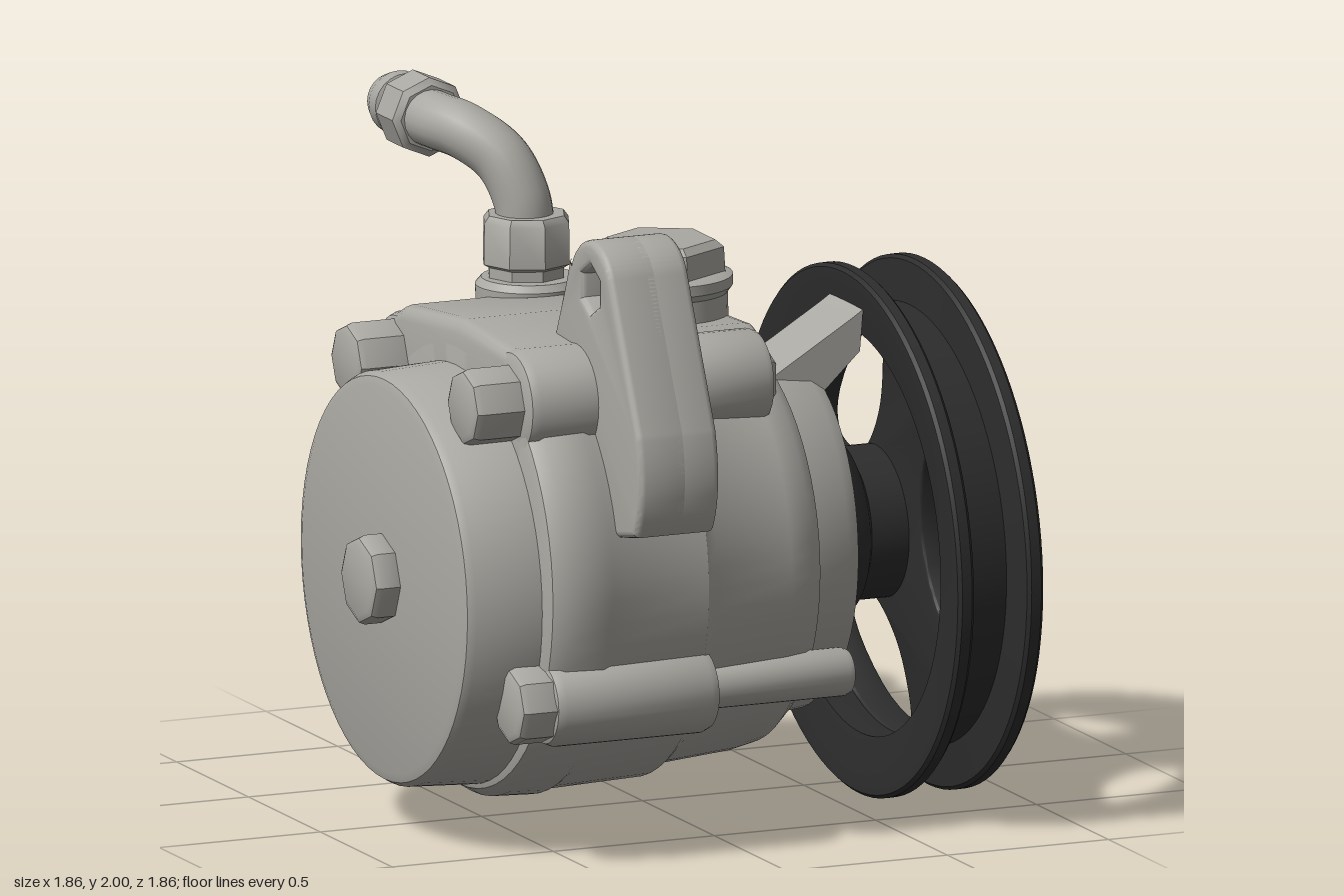
import * as THREE from 'three';
import { toCreasedNormals } from 'three/addons/utils/BufferGeometryUtils.js';

const V2 = (x, y) => new THREE.Vector2(x, y);

export function createModel() {
  const model = new THREE.Group();
  const castMetal = new THREE.MeshStandardMaterial({ color: 0xaaa8a2 });
  castMetal.name = 'cast metal';
  const blackPaint = new THREE.MeshStandardMaterial({ color: 0x2d2d2e });
  blackPaint.name = 'black paint';

  function add(name, geo, mat = castMetal, parent = model) {
    const mesh = new THREE.Mesh(toCreasedNormals(geo, 0.6), mat);
    mesh.name = name;
    parent.add(mesh);
    return mesh;
  }
  // Turned part along x: profile is [x, radius] pairs, axis at height y and depth z, zScale makes it oval
  function latheX(profile, y, z, sides = 64, zScale = 1) {
    return new THREE.LatheGeometry(profile.map(([x, r]) => V2(r, x)), sides)
      .rotateZ(-Math.PI / 2).scale(1, 1, zScale).translate(0, y, z);
  }
  // Turned part along y: profile is [y, radius] pairs
  function latheY(profile, x, z, sides = 40) {
    return new THREE.LatheGeometry(profile.map(([y, r]) => V2(r, y)), sides).translate(x, 0, z);
  }
  // Rod with softened ends or, with few sides, a bolt head
  function rodX(x0, x1, r, y, z, sides = 28, c = 0.025) {
    return latheX([
      [x0, 0], [x0, r - c], [x0 + c * 0.3, r - c * 0.3], [x0 + c, r],
      [x1 - c, r], [x1 - c * 0.3, r - c * 0.3], [x1, r - c], [x1, 0],
    ], y, z, sides);
  }
  // Plate in the (-z, y) plane, spanning x0 to x1
  function plateX(shape, x0, x1, bevel = 0.02) {
    return new THREE.ExtrudeGeometry(shape, {
      depth: x1 - x0 - 2 * bevel, bevelThickness: bevel, bevelSize: bevel,
      bevelOffset: -bevel, bevelSegments: 3, curveSegments: 24,
    }).translate(0, 0, x0 + bevel).rotateY(Math.PI / 2);
  }
  function polygonPath(u, v, r, n) {
    const pts = [];
    for (let i = 0; i < n; i++) {
      const a = (i / n) * Math.PI * 2 + Math.PI / 6;
      pts.push(V2(u + r * Math.cos(a), v + r * Math.sin(a)));
    }
    return new THREE.Path(pts);
  }

  // Housing
  add('rearCap', latheX([[-0.85, 0], [-0.85, 0.555], [-0.842, 0.58], [-0.82, 0.593], [-0.58, 0.605], [-0.58, 0]], 0.745, 0.09));
  add('housing', latheX([
    [-0.62, 0], [-0.62, 0.62], [-0.61, 0.65], [-0.57, 0.675], [-0.45, 0.68], [-0.43, 0.67], [-0.13, 0.66],
    [-0.09, 0.63], [0.15, 0.61], [0.22, 0.595], [0.26, 0.56], [0.265, 0.4], [0.265, 0],
  ], 0.78, 0.095));
  add('nose', latheX([
    [0.2, 0], [0.2, 0.545], [0.27, 0.53], [0.4, 0.515], [0.44, 0.49],
    [0.45, 0.46], [0.45, 0.36], [0.4, 0.34], [0.4, 0],
  ], 0.78, 0.09, 64, 0.87));
  add('rearBolt', rodX(-0.93, -0.83, 0.13, 0.75, 0.095, 8));

  // Corner bolts in their lugs: [y, z, head x, lug radius]
  const corners = [[1.31, 0.46, -0.77, 0.155], [1.28, -0.35, -0.77, 0.13], [0.48, 0.67, -0.72, 0.125], [0.48, -0.5, -0.73, 0.125]];
  for (const [y, z, head, lug] of corners) {
    add('cornerBolt', rodX(head, -0.56, 0.112, y, z, 8));
    add('boltLug', rodX(-0.62, -0.1, lug, y, z, 32, 0.035));
  }
  // Bosses reaching forward: [y, z, radius, end x]
  for (const [y, z, r, end] of [[1.31, 0.42, 0.14, 0.17], [1.28, -0.36, 0.11, 0.17], [0.48, 0.63, 0.07, 0.36], [0.98, -0.51, 0.075, 0.36]]) {
    add('forwardBoss', rodX(-0.14, end, r, y, z));
  }
  add('lowerBackBoss', rodX(-0.14, 0.06, 0.11, 0.48, -0.48));

  // Pressure valve chamber along the back
  add('valveChamber', rodX(-0.63, -0.08, 0.175, 0.96, -0.525, 32, 0.05));

  // Cast decks joining the upper lugs
  const rearDeck = new THREE.Shape([V2(-0.62, 0.9), V2(0.5, 0.85), V2(0.48, 1.25), V2(0.42, 1.38), V2(0.3, 1.44), V2(-0.1, 1.48), V2(-0.45, 1.46), V2(-0.57, 1.38)]);
  add('rearDeck', plateX(rearDeck, -0.62, -0.12, 0.04));
  const frontDeck = new THREE.Shape([V2(-0.45, 0.8), V2(0.48, 0.8), V2(0.45, 1.22), V2(0.36, 1.36), V2(0.2, 1.42), V2(-0.3, 1.44), V2(-0.47, 1.36)]);
  add('frontDeck', plateX(frontDeck, -0.3, 0.22, 0.04));

  // Upper mounting ear with a pocket on its forward side
  function upperEar(withPocket) {
    const s = new THREE.Shape();
    s.moveTo(-0.25, 1.35);
    s.lineTo(-0.33, 1.53);
    s.lineTo(-0.41, 1.68);
    s.absarc(-0.55, 1.63, 0.15, 0.3, 2.75, false);
    s.lineTo(-0.88, 1.28);
    s.quadraticCurveTo(-0.93, 1.1, -0.86, 0.98);
    s.lineTo(-0.45, 0.9);
    s.holes.push(polygonPath(-0.55, 1.64, 0.068, 6));
    if (withPocket) s.holes.push(new THREE.Path([V2(-0.45, 1.48), V2(-0.63, 1.48), V2(-0.76, 1.22), V2(-0.7, 1.12), V2(-0.46, 1.3)]));
    return s;
  }
  add('upperEar', plateX(upperEar(false), -0.41, -0.25));
  add('upperEarRim', plateX(upperEar(true), -0.31, -0.16));

  // Lower mounting ear
  const low = new THREE.Shape();
  low.moveTo(-0.1, 0.2);
  low.lineTo(0.1, 0.13);
  low.lineTo(0.42, 0.025);
  low.absarc(0.48, 0.155, 0.145, -1.95, 0.25, false);
  low.lineTo(0.46, 0.52);
  low.lineTo(0.3, 0.7);
  low.holes.push(polygonPath(0.48, 0.16, 0.06, 12));
  add('lowerEar', plateX(low, 0.02, 0.25));

  // Stay reaching from the housing toward the pulley
  const stay = new THREE.Shape([V2(0.2, 1.0), V2(0.32, 1.1), V2(0.55, 1.32), V2(0.56, 1.44), V2(0.53, 1.42), V2(0.25, 1.25), V2(0.16, 1.22)]);
  add('stay', new THREE.ExtrudeGeometry(stay, { depth: 0.23, bevelEnabled: false }).translate(0, 0, 0.05));

  // Filler neck and its hex plug
  add('fillerNeck', latheY([[1.2, 0], [1.2, 0.2], [1.5, 0.19], [1.52, 0.205], [1.55, 0.205], [1.56, 0.18], [1.56, 0]], 0.03, 0.06));
  add('fillerPlug', latheY([[1.54, 0], [1.54, 0.185], [1.63, 0.18], [1.65, 0.155], [1.65, 0]], 0.03, 0.06, 6));

  // Hose fitting: boss, nuts, bent pipe and nipple
  add('fittingBoss', latheY([[0.95, 0], [0.95, 0.12], [1.25, 0.132], [1.4, 0.15], [1.46, 0.152], [1.48, 0.135], [1.48, 0]], -0.2, -0.345));
  add('lowerNut', latheY([[1.47, 0], [1.47, 0.115], [1.51, 0.115], [1.52, 0.132], [1.64, 0.13], [1.66, 0.115], [1.66, 0]], -0.2, -0.36, 8));
  const bend = new THREE.CatmullRomCurve3([
    [-0.2, 1.6, -0.36], [-0.21, 1.7, -0.37], [-0.25, 1.81, -0.42], [-0.32, 1.875, -0.51], [-0.36, 1.89, -0.6], [-0.37, 1.89, -0.7],
  ].map((p) => new THREE.Vector3(...p)));
  add('bentPipe', new THREE.TubeGeometry(bend, 40, 0.082, 20));
  const endFitting = (profile, sides) => latheY(profile, 0, 0, sides).rotateX(-Math.PI / 2).translate(-0.365, 1.89, 0);
  add('endNut', endFitting([[0.65, 0], [0.65, 0.095], [0.665, 0.115], [0.78, 0.115], [0.81, 0.09], [0.81, 0]], 8));
  add('nipple', endFitting([
    [0.78, 0], [0.78, 0.08], [0.83, 0.08], [0.835, 0.092], [0.88, 0.092], [0.93, 0.075], [0.93, 0.05], [0.84, 0.045], [0.84, 0],
  ], 24));

  // Pulley, sitting very slightly out of true
  const pulley = new THREE.Group();
  pulley.name = 'pulley';
  pulley.position.set(0.705, 0.775, 0.16);
  pulley.rotation.z = 0.027;
  model.add(pulley);
  add('pulleyRim', latheX([
    [-0.115, 0.59], [-0.135, 0.72], [-0.135, 0.755], [-0.125, 0.765], [-0.095, 0.765], [-0.085, 0.755], [-0.07, 0.645],
    [0.07, 0.635], [0.08, 0.755], [0.09, 0.765], [0.12, 0.765], [0.13, 0.755], [0.13, 0.72], [0.09, 0.65],
    [0.08, 0.61], [0.06, 0.6], [-0.115, 0.59],
  ], 0, 0, 96), blackPaint, pulley);
  const web = new THREE.Shape();
  web.absarc(0, 0, 0.62, 0, Math.PI * 2, false);
  // Three rounded windows between the spokes
  for (const middle of [53, 172, 292]) {
    const outline = [[-36, 0.55], [-29, 0.59], [0, 0.59], [29, 0.59], [36, 0.55], [36, 0.43], [29, 0.32], [0, 0.245], [-29, 0.32], [-36, 0.43]];
    const pts = outline.map(([deg, r]) => {
      const a = ((middle + deg) * Math.PI) / 180;
      return new THREE.Vector3(r * Math.cos(a), r * Math.sin(a), 0);
    });
    const curve = new THREE.CatmullRomCurve3(pts, true);
    web.holes.push(new THREE.Path(curve.getPoints(50).slice(0, -1).map((p) => V2(p.x, p.y))));
  }
  add('pulleyWeb', plateX(web, -0.02, 0.08, 0.008), blackPaint, pulley);

  // Hub, shaft cone and centre bolt
  add('hubRing', latheX([[0.7, 0], [0.7, 0.215], [0.79, 0.215], [0.8, 0.2], [0.8, 0.17], [0.785, 0.16], [0.785, 0]], 0.785, 0.13), blackPaint);
  add('shaftCone', latheX([[0.39, 0], [0.39, 0.335], [0.44, 0.33], [0.55, 0.255], [0.57, 0.22], [0.7, 0.22], [0.7, 0]], 0.78, 0.1), blackPaint);
  add('centreBolt', latheX([[0.77, 0], [0.77, 0.125], [0.82, 0.125], [0.83, 0.112], [0.91, 0.108], [0.93, 0.085], [0.93, 0]], 0.79, 0.11, 10));

  return model;
}
